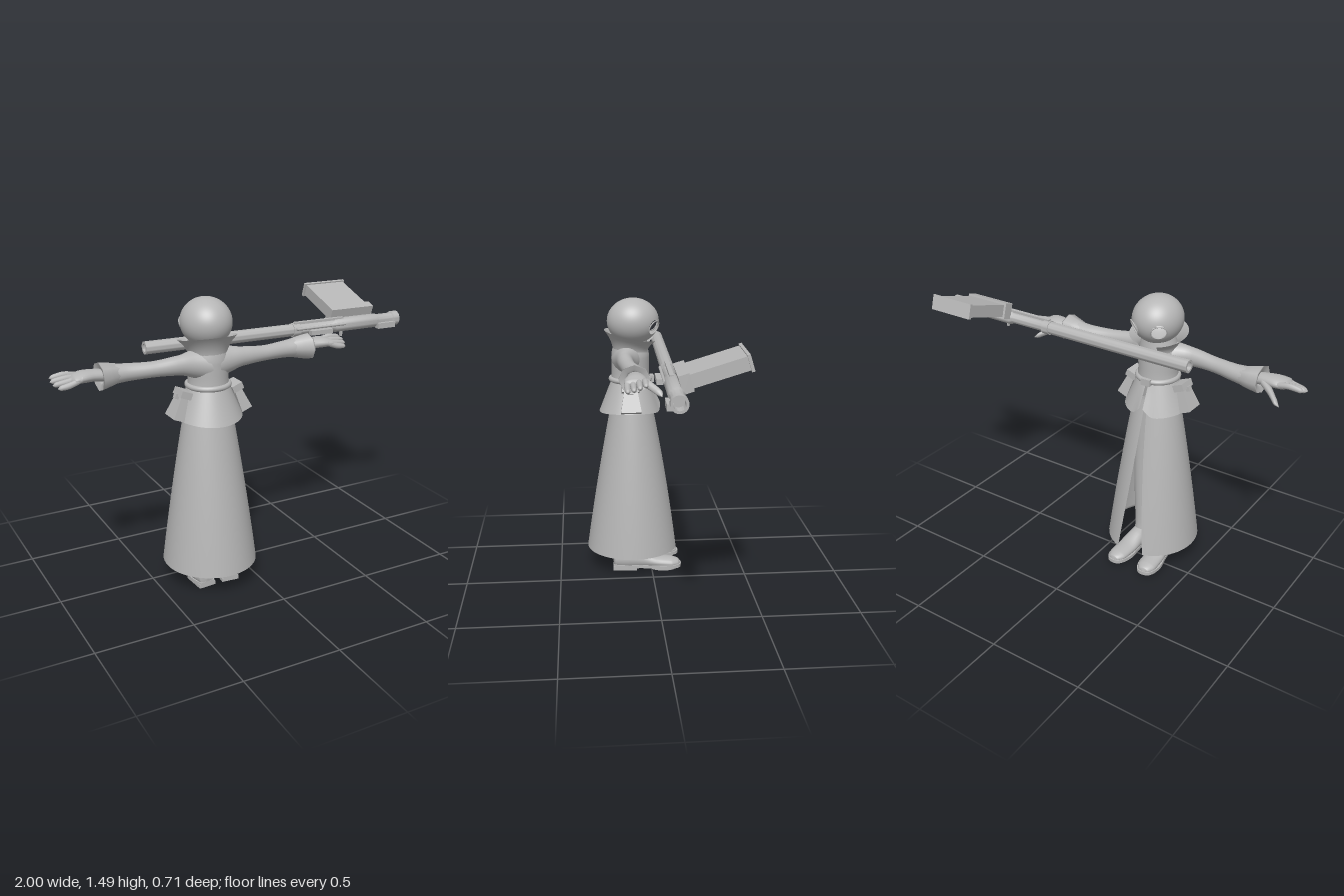
import * as THREE from 'three';
import { toCreasedNormals } from 'three/addons/utils/BufferGeometryUtils.js';
import { ParametricGeometry } from 'three/addons/geometries/ParametricGeometry.js';

const grey = new THREE.MeshStandardMaterial({ color: 0xb6b6b6, side: THREE.DoubleSide });
grey.name = 'plain grey';

function add(parent, name, geo, x = 0, y = 0, z = 0) {
  const m = new THREE.Mesh(geo, grey);
  m.name = name;
  m.position.set(x, y, z);
  parent.add(m);
  return m;
}

const sheet = (f, nu, nv) => new ParametricGeometry(f, nu, nv);

// Smooth skin over elliptical rings; each row is [x, y, z, radiusA, radiusB]
function loft(rows, axis, nu = 20, floor = -1) {
  const mid = new THREE.CatmullRomCurve3(rows.map(r => new THREE.Vector3(r[0], r[1], r[2])));
  const rad = new THREE.CatmullRomCurve3(rows.map(r => new THREE.Vector3(r[3], r[4], 0)));
  const c = new THREE.Vector3(), q = new THREE.Vector3();
  return sheet((u, v, t) => {
    mid.getPoint(v, c);
    rad.getPoint(v, q);
    const a = u * Math.PI * 2, p = Math.cos(a) * Math.max(q.x, 0), s = Math.sin(a) * Math.max(q.y, 0);
    if (axis === 'x') t.set(c.x, c.y + p, c.z + s);
    else if (axis === 'y') t.set(c.x + p, c.y, c.z + s);
    else t.set(c.x + p, Math.max(c.y + s, floor), c.z);
  }, nu, (rows.length - 1) * 5);
}

// Point around the body's vertical axis; angle 0 is the -z opening
const around = (t, a, y, rx, rz, cz) => t.set(rx * Math.sin(a), y, cz - rz * Math.cos(a));

// Hollow head with two round eye holes
function headGeometry(eyes, r) {
  const g = new THREE.SphereGeometry(1, 72, 48).scale(0.125, 0.12, 0.136);
  const pos = g.attributes.position, p = new THREE.Vector3();
  for (let i = 0; i < pos.count; i++) {
    p.fromBufferAttribute(pos, i);
    for (const e of eyes) {
      const d = p.distanceTo(e);
      if (Math.abs(d - r) < 0.007) p.sub(e).multiplyScalar(r / d).add(e);
    }
    pos.setXYZ(i, p.x, p.y, p.z);
  }
  const kept = [], old = g.index.array, q = new THREE.Vector3();
  for (let i = 0; i < old.length; i += 3) {
    const c = new THREE.Vector3();
    for (let k = 0; k < 3; k++) c.add(q.fromBufferAttribute(pos, old[i + k]));
    c.divideScalar(3);
    if (eyes.every(e => c.distanceTo(e) > r)) kept.push(old[i], old[i + 1], old[i + 2]);
  }
  g.setIndex(kept);
  return g;
}

// One arm reaching towards +x, with cuff and hand
function makeArm() {
  const arm = new THREE.Group();
  arm.name = 'arm';
  add(arm, 'sleeve', loft([[0.02, 1.165, 0.115, 0.085, 0.09], [0.09, 1.175, 0.125, 0.068, 0.065],
    [0.16, 1.183, 0.14, 0.049, 0.042], [0.3, 1.18, 0.13, 0.038, 0.038],
    [0.42, 1.178, 0.11, 0.042, 0.044], [0.5, 1.178, 0.105, 0.05, 0.05]], 'x', 24));
  add(arm, 'cuff', loft([[0.46, 1.178, 0.105, 0.046, 0.047], [0.5, 1.178, 0.108, 0.056, 0.06],
    [0.56, 1.178, 0.117, 0.068, 0.076], [0.55, 1.178, 0.117, 0.04, 0.045], [0.53, 1.178, 0.117, 0.02, 0.02]], 'x', 8));
  add(arm, 'palm', loft([[0.52, 1.18, 0.115, 0.028, 0.034], [0.58, 1.188, 0.112, 0.028, 0.042],
    [0.64, 1.19, 0.115, 0.027, 0.053], [0.68, 1.187, 0.12, 0.021, 0.052], [0.705, 1.185, 0.12, 0, 0]], 'x'));
  for (let i = 0; i < 4; i++) {
    const z = 0.077 + i * 0.027, tip = [0.78, 0.785, 0.78, 0.765][i], y = 1.2 - i * 0.01;
    add(arm, 'finger', loft([[0.65, 1.19, z, 0.014, 0.013], [0.71, y, z, 0.015, 0.015],
      [tip - 0.015, y - 0.006, z, 0.012, 0.012], [tip, y - 0.008, z, 0, 0]], 'x', 10));
  }
  add(arm, 'thumb', loft([[0.575, 1.182, 0.09, 0.02, 0.025], [0.63, 1.163, 0.05, 0.018, 0.022],
    [0.675, 1.14, 0.012, 0.015, 0.018], [0.702, 1.125, -0.002, 0, 0]], 'x', 12));
  return arm;
}

// Leg and boot with toe towards -z
function makeLeg() {
  const leg = new THREE.Group();
  leg.name = 'leg';
  add(leg, 'trouser', loft([[0, 0.07, 0.13, 0.048, 0.07], [0, 0.15, 0.125, 0.046, 0.058],
    [0, 0.5, 0.11, 0.05, 0.055], [-0.015, 0.95, 0.105, 0.06, 0.07]], 'y'));
  add(leg, 'boot', loft([[0, 0.05, 0.212, 0, 0], [0, 0.055, 0.205, 0.04, 0.05], [0, 0.06, 0.14, 0.052, 0.062],
    [0, 0.055, 0.05, 0.05, 0.052], [0, 0.042, -0.03, 0.053, 0.032], [0, 0.035, -0.11, 0.05, 0.028],
    [0, 0.032, -0.15, 0.028, 0.017], [0, 0.03, -0.157, 0, 0]], 'z', 24, 0.02));
  const outline = new THREE.Shape();
  outline.moveTo(-0.04, -0.21);
  outline.lineTo(0.04, -0.21);
  outline.splineThru([[0.052, -0.14], [0.045, -0.05], [0.06, 0.07], [0.04, 0.145], [0, 0.163],
    [-0.04, 0.145], [-0.06, 0.07], [-0.045, -0.05], [-0.052, -0.14], [-0.04, -0.21]].map(p => new THREE.Vector2(...p)));
  const sole = new THREE.ExtrudeGeometry(outline, { depth: 0.018, bevelEnabled: false }).rotateX(-Math.PI / 2);
  add(leg, 'sole', sole, 0, 0.012, 0);
  add(leg, 'heel', new THREE.BoxGeometry(0.092, 0.02, 0.13), 0, 0.01, 0.145);
  add(leg, 'solePad', new THREE.CylinderGeometry(0.05, 0.05, 0.014, 20).scale(1, 1, 1.5), 0, 0.007, -0.065);
  return leg;
}

function makePouch() {
  const pouch = new THREE.Group();
  pouch.name = 'pouch';
  const bag = new THREE.CylinderGeometry(0.045, 0.075, 0.13, 4, 1).rotateY(Math.PI / 4).scale(0.55, 1, 1);
  add(pouch, 'pouchBag', toCreasedNormals(bag, 0.5), 0, -0.012, 0);
  add(pouch, 'pouchFlap', new THREE.BoxGeometry(0.058, 0.035, 0.092), 0, 0.05, 0);
  add(pouch, 'pouchClasp', new THREE.BoxGeometry(0.02, 0.025, 0.025), 0.03, 0.03, 0);
  pouch.position.set(0.157, 0.985, 0.112);
  pouch.rotation.z = 0.38;
  return pouch;
}

// Long launcher along +x, with its magazine leaning up towards -z
function makeGun() {
  const gun = new THREE.Group();
  gun.name = 'gun';
  const tube = [[0, 0.1], [0.02, 0.1], [0.02, 0], [0.032, 0], [0.032, 0.82], [0.036, 0.82], [0.036, 0.86],
    [0.028, 0.86], [0.028, 1.06], [0.037, 1.08], [0.037, 1.34], [0.032, 1.35], [0.032, 1.44],
    [0.039, 1.445], [0.039, 1.48], [0.027, 1.48], [0.027, 1.42], [0, 1.42]].map(p => new THREE.Vector2(...p));
  add(gun, 'barrel', toCreasedNormals(new THREE.LatheGeometry(tube, 28), 0.6)).rotation.z = -Math.PI / 2;
  add(gun, 'topRail', new THREE.BoxGeometry(0.3, 0.012, 0.02), 0.98, 0.036, 0.005);
  add(gun, 'sideRod', new THREE.CylinderGeometry(0.007, 0.007, 0.3, 10).rotateZ(Math.PI / 2), 0.98, 0.01, 0.036);
  add(gun, 'sideGrip', new THREE.BoxGeometry(0.13, 0.024, 0.03), 0.97, -0.012, 0.05);
  add(gun, 'trigger', new THREE.BoxGeometry(0.012, 0.03, 0.012), 1.12, -0.045, 0.01);
  add(gun, 'sideBlock', new THREE.BoxGeometry(0.11, 0.03, 0.03), 1.39, -0.022, 0.035);
  const magazine = new THREE.Group();
  magazine.name = 'magazine';
  add(magazine, 'magazineSocket', new THREE.BoxGeometry(0.26, 0.082, 0.05), 0, 0, -0.045);
  add(magazine, 'magazineBody', new THREE.BoxGeometry(0.235, 0.062, 0.28), 0, 0, -0.19);
  add(magazine, 'magazineCap', new THREE.BoxGeometry(0.255, 0.076, 0.014), 0, 0, -0.328);
  magazine.position.set(1.2, 0.035, 0.003);
  magazine.rotation.x = 0.3;
  gun.add(magazine);
  gun.position.set(-0.48, 1.232, -0.055);
  gun.rotation.set(0, -0.02, -0.009);
  return gun;
}

export function createModel() {
  const model = new THREE.Group();
  model.name = 'robedFigure';
  const body = new THREE.Group();
  body.name = 'body';
  body.position.x = -0.217;
  model.add(body);

  // Head and eye rims
  const eyes = [1, -1].map(s => new THREE.Vector3(s * 0.071, -0.027, -0.108));
  const head = add(body, 'head', headGeometry(eyes, 0.04), 0, 1.365, 0.09);
  for (const e of eyes) {
    const rim = add(head, 'eyeRim', new THREE.TorusGeometry(0.039, 0.003, 8, 32));
    rim.lookAt(e.x / 0.0156, e.y / 0.0144, e.z / 0.0185);
    rim.position.copy(e).multiplyScalar(0.97);
  }

  // Torso, collar and belt
  add(body, 'torso', loft([[0, 1.03, 0.105, 0.106, 0.103], [0, 1.1, 0.105, 0.1, 0.1], [0, 1.18, 0.105, 0.103, 0.1],
    [0, 1.23, 0.105, 0.095, 0.092], [0, 1.28, 0.1, 0.08, 0.08]], 'y', 32));
  add(body, 'collar', sheet((u, v, t) => {
    const a = 0.45 + u * (Math.PI * 2 - 0.9), top = 1.292 - 0.028 * Math.cos(a);
    around(t, a, 1.205 + v * (top - 1.205), 0.096 + 0.052 * v * v, 0.094 + 0.046 * v * v, 0.102);
  }, 40, 8));
  add(body, 'belt', new THREE.TorusGeometry(0.102, 0.014, 10, 40).rotateX(Math.PI / 2), 0, 1.06, 0.105);
  add(body, 'buckle', new THREE.BoxGeometry(0.05, 0.035, 0.02), 0, 1.06, -0.008);

  // Flared jacket hem, notched at the opening
  add(body, 'jacketHem', sheet((u, v, t) => {
    const a = 0.06 + u * (Math.PI * 2 - 0.12), d = Math.min(a, Math.PI * 2 - a);
    const hem = 0.886 + 0.016 * Math.sin(d) ** 2 + 0.045 * Math.exp(-((d / 0.22) ** 2));
    around(t, a, 1.055 + v * (hem - 1.055), 0.104 + 0.064 * v, 0.1 + 0.062 * v, 0.105 + 0.004 * v);
  }, 56, 6));

  // Long coat skirt with thickness, split along -z
  add(body, 'coatSkirt', sheet((u, v, t) => {
    const k = u < 0.49 ? u / 0.49 : u < 0.51 ? 1 : (1 - u) / 0.49;
    const inside = u > 0.495 && u < 0.995 ? 0.014 * Math.min(1, (1 - v) * 30) : 0;
    const gap = 0.05 + 0.27 * v;
    const a = gap + k * (Math.PI * 2 - 2 * gap), flare = v + 0.16 * v * (1 - v);
    around(t, a, 0.95 - 0.835 * v, 0.118 + 0.122 * flare - inside, 0.104 + 0.144 * flare - inside, 0.1);
  }, 100, 30));

  // Mirrored limbs and pouches
  for (const s of [1, -1]) {
    const side = new THREE.Group();
    side.name = s > 0 ? 'leftSide' : 'rightSide';
    side.scale.x = s;
    const leg = makeLeg();
    leg.position.x = 0.083;
    leg.rotation.y = -0.08;
    side.add(makeArm(), makePouch(), leg);
    body.add(side);
  }

  model.add(makeGun());
  return model;
}
